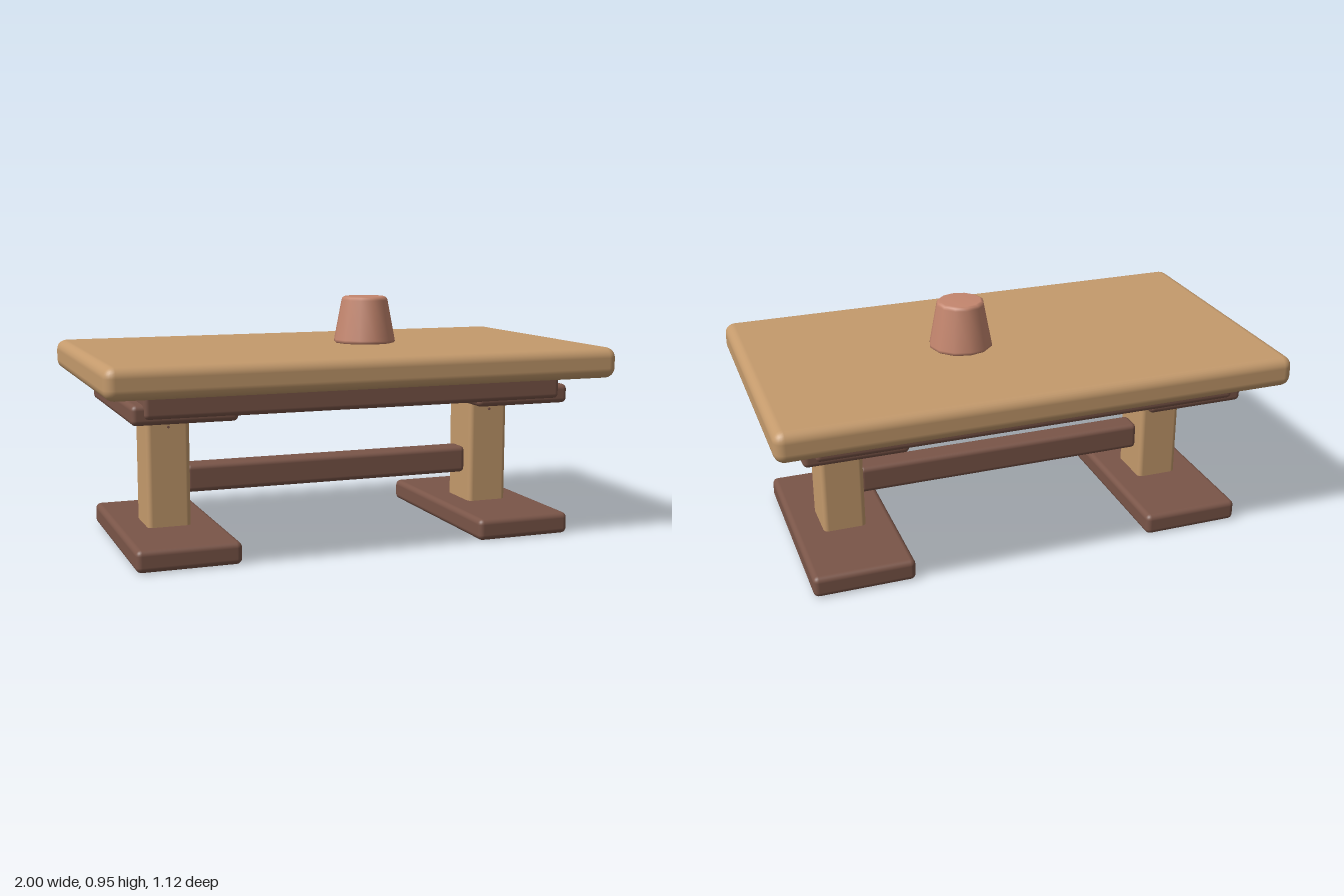
import * as THREE from 'three';
import { RoundedBoxGeometry } from 'three/addons/geometries/RoundedBoxGeometry.js';

export function createModel() {
  const model = new THREE.Group();
  model.name = 'trestleTable';

  const paint = (name, color) => {
    const m = new THREE.MeshStandardMaterial({ color });
    m.name = name;
    return m;
  };
  const lightWood = paint('light wood', 0xc49a6c);
  const darkWood = paint('dark wood', 0x7a5548);
  const clay = paint('clay', 0xc4866e);

  const add = (parent, name, geometry, material, x, y, z) => {
    const mesh = new THREE.Mesh(geometry, material);
    mesh.name = name;
    mesh.position.set(x, y, z);
    parent.add(mesh);
    return mesh;
  };

  // Rounded board spanning y0..y1, centred on x and z = 0
  const board = (parent, name, material, x, y0, y1, width, depth, radius) =>
    add(parent, name, new RoundedBoxGeometry(width, y1 - y0, depth, 3, radius),
      material, x, (y0 + y1) / 2, 0);

  // Top with the frame below it
  board(model, 'tabletop', lightWood, 0, 0.645, 0.765, 2, 1.12, 0.04);
  board(model, 'underframe', darkWood, 0, 0.553, 0.665, 1.67, 0.805, 0.02);

  // Two trestles: foot, post, cap board and a tiny peg on the front
  for (const side of [-1, 1]) {
    const trestle = new THREE.Group();
    trestle.name = side > 0 ? 'leftTrestle' : 'rightTrestle';
    trestle.position.x = side * 0.68;
    model.add(trestle);
    board(trestle, 'foot', darkWood, 0, 0.005, 0.09, 0.395, 0.845, 0.022);
    board(trestle, 'post', lightWood, 0, 0.06, 0.57, 0.17, 0.2, 0.02);
    board(trestle, 'capBoard', darkWood, 0, 0.533, 0.608, 0.395, 0.785, 0.02);
    const peg = add(trestle, 'peg', new THREE.CylinderGeometry(0.005, 0.005, 0.012, 8),
      darkWood, 0, 0.478, 0.1);
    peg.rotation.x = Math.PI / 2;
  }

  // Stretcher joining the posts
  board(model, 'stretcher', darkWood, 0, 0.205, 0.315, 1.2, 0.1, 0.02);

  // Tapered pot turned over on the table, with softened rims
  const profile = [[0, 0], [0.118, 0], [0.125, 0.006], [0.124, 0.014],
    [0.094, 0.172], [0.09, 0.182], [0.08, 0.187], [0, 0.187]]
    .map(([r, y]) => new THREE.Vector2(r, y));
  add(model, 'pot', new THREE.LatheGeometry(profile, 12), clay, 0.16, 0.764, 0);

  // Rest the feet on the ground
  model.children.forEach((part) => { part.position.y -= 0.005; });
  return model;
}
